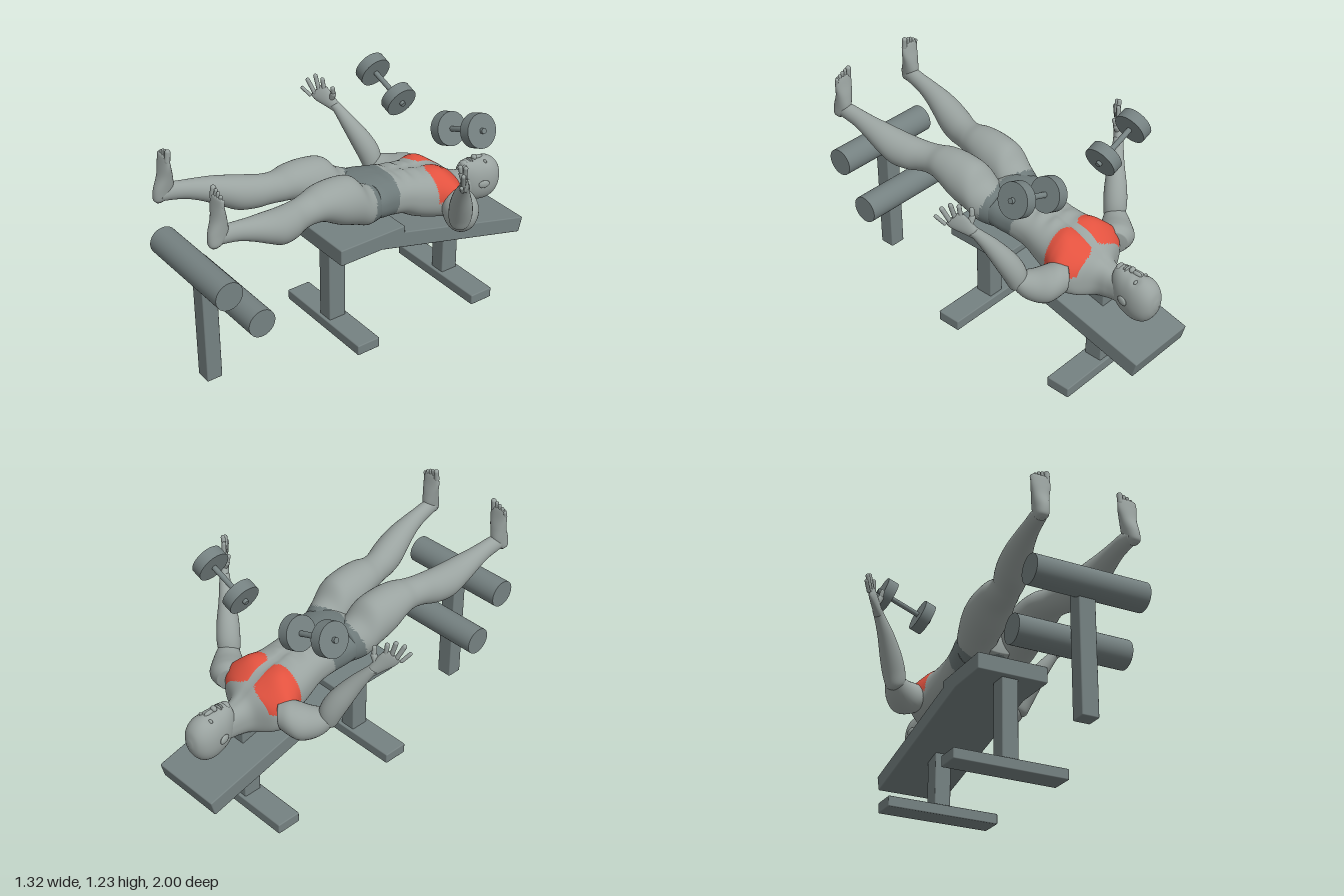
import * as THREE from 'three';
import { RoundedBoxGeometry } from 'three/addons/geometries/RoundedBoxGeometry.js';

const V3 = (x, y, z) => new THREE.Vector3(x, y, z);
const make = (name, color) => {
  const m = new THREE.MeshStandardMaterial({ color });
  m.name = name;
  return m;
};
const bump = (d, w) => Math.exp(-(d * d) / (w * w));

// Smooth closed skin through rows of [x, y, z, radiusU, radiusV]; U fixes the section's first axis
function loft(rows, { U, V, n = 2, around = 32, steps = 6, shape } = {}) {
  const path = new THREE.CatmullRomCurve3(rows.map(r => V3(r[0], r[1], r[2])), false, 'catmullrom');
  const radii = new THREE.CatmullRomCurve3(rows.map(r => V3(r[3], r[4] ?? r[3], 0)), false, 'catmullrom');
  const W = path.points.at(-1).clone().sub(path.points[0]).normalize();
  const u = (U ?? V3(0, 0, 1)).clone();
  if (!V) u.addScaledVector(W, -u.dot(W));
  u.normalize();
  const v = V ? V.clone() : W.clone().cross(u).normalize();
  if (u.clone().cross(v).dot(W) < 0) v.negate();
  const count = (rows.length - 1) * steps, pos = [], idx = [];
  const round = c => Math.sign(c) * Math.abs(c) ** (2 / n);
  for (let i = 0; i <= count; i++) {
    const c = path.getPoint(i / count), r = radii.getPoint(i / count);
    for (let j = 0; j < around; j++) {
      const a = (j / around) * Math.PI * 2;
      const p = c.clone().addScaledVector(u, r.x * round(Math.cos(a))).addScaledVector(v, r.y * round(Math.sin(a)));
      if (shape) shape(p, c);
      pos.push(p.x, p.y, p.z);
      if (i < count) {
        const k = i * around + j, l = i * around + (j + 1) % around;
        idx.push(k, l, l + around, k, l + around, k + around);
      }
    }
  }
  // End caps
  const first = pos.length / 3, last = count * around;
  pos.push(...path.getPoint(0), ...path.getPoint(1));
  for (let j = 0; j < around; j++) {
    const k = (j + 1) % around;
    idx.push(first, k, j, first + 1, last + j, last + k);
  }
  const g = new THREE.BufferGeometry();
  g.setAttribute('position', new THREE.Float32BufferAttribute(pos, 3));
  g.setIndex(idx);
  g.computeVertexNormals();
  return g;
}

// Sort faces into one group per material; rule gets a face centre and returns a material index
function paint(g, rule) {
  const lists = [[], [], []], p = g.attributes.position, ix = g.index.array;
  for (let i = 0; i < ix.length; i += 3) {
    const c = V3(0, 0, 0);
    for (let k = 0; k < 3; k++) c.add(V3().fromBufferAttribute(p, ix[i + k]));
    lists[rule(c.divideScalar(3))].push(ix[i], ix[i + 1], ix[i + 2]);
  }
  g.setIndex(lists.flat());
  let start = 0;
  lists.forEach((l, m) => {
    if (l.length) g.addGroup(start, l.length, m);
    start += l.length;
  });
  return g;
}

export function createModel() {
  const root = new THREE.Group();
  const skin = make('skin', 0x9aa3a0), metal = make('equipment grey', 0x758181);
  const cloth = make('shorts grey', 0x6e7a7a), red = make('chest red', 0xe2523f);
  const bodyMats = [skin, cloth, red];

  const add = (name, geo, mat, parent = root) => {
    const m = new THREE.Mesh(geo, mat);
    m.name = name;
    parent.add(m);
    return m;
  };
  const group = name => {
    const g = new THREE.Group();
    g.name = name;
    root.add(g);
    return g;
  };
  const box = (name, w, h, d, x, y, z, parent) => {
    const m = add(name, new RoundedBoxGeometry(w, h, d, 2, 0.006), metal, parent);
    m.position.set(x, y, z);
    return m;
  };
  const rod = (name, r, len, x, y, z, parent) => {
    const m = add(name, new THREE.CylinderGeometry(r, r, len, 48).rotateZ(Math.PI / 2), metal, parent);
    m.position.set(x, y, z);
    return m;
  };
  const ball = (name, p, s, parent) => {
    const m = add(name, new THREE.SphereGeometry(1, 24, 16), skin, parent);
    m.position.set(...p);
    m.scale.set(...s);
    return m;
  };
  const digit = (name, a, b, r, parent) => {
    const d = b.clone().sub(a);
    const m = add(name, new THREE.CapsuleGeometry(r, d.length(), 6, 12), skin, parent);
    m.position.copy(a).addScaledVector(d, 0.5);
    m.quaternion.setFromUnitVectors(V3(0, 1, 0), d.normalize());
  };

  // Bench
  const bench = group('bench');
  box('seat pad', 0.39, 0.09, 0.4, 0, 0.53, 0.015, bench);
  box('decline pad', 0.39, 0.088, 0.98, 0, 0.407, -0.517, bench).rotation.x = -0.253;
  for (const [z, top] of [[0.132, 0.5], [-0.62, 0.49]]) {
    box('bench post', 0.09, top - 0.05, 0.1, 0, (top + 0.05) / 2, z, bench);
    box('bench foot', 0.63, 0.058, 0.135, 0, 0.029, z, bench);
  }

  // Leg support with two rollers
  const support = group('leg support');
  box('support post', 0.088, 0.625, 0.086, 0, 0.3125, 0.882, support);
  rod('upper roller', 0.074, 0.6, 0, 0.658, 0.926, support);
  rod('lower roller', 0.074, 0.6, 0, 0.434, 0.755, support);

  // Dumbbells
  for (const s of [1, -1]) {
    const bell = group(s > 0 ? 'left dumbbell' : 'right dumbbell');
    bell.position.set(s * 0.311, 1.096, -0.44);
    bell.rotation.z = s * 0.36;
    rod('handle', 0.014, 0.33, 0, 0, 0, bell);
    for (const e of [-0.118, 0.118]) rod('weight', 0.087, 0.06, e, 0, 0, bell);
  }

  // Briefs and chest colouring
  const colourOf = c => {
    const ax = Math.abs(c.x);
    if (c.y > 0.62 && Math.abs((ax - 0.13) / 0.11) ** 4 + Math.abs((c.z + 0.5) / 0.09) ** 4 < 1) return 2;
    const hem = 0.005 - (c.y - 0.74) * 0.25 + Math.max(0, 0.12 - ax) * 0.4;
    return c.z < hem && c.z > -0.17 - (c.y - 0.71) * 0.2 ? 1 : 0;
  };

  // Torso: z, underside, top, half width
  const span = ([z, lo, hi, w]) => [0, (lo + hi) / 2, z, w, (hi - lo) / 2];
  const torsoRows = [
    [-0.76, 0.47, 0.62, 0.058], [-0.69, 0.462, 0.635, 0.064], [-0.63, 0.455, 0.66, 0.09],
    [-0.58, 0.46, 0.7, 0.185], [-0.52, 0.47, 0.737, 0.232], [-0.46, 0.48, 0.757, 0.212],
    [-0.4, 0.49, 0.768, 0.185], [-0.32, 0.52, 0.785, 0.168], [-0.24, 0.565, 0.8, 0.16],
    [-0.15, 0.59, 0.818, 0.17], [-0.06, 0.61, 0.83, 0.188], [0.02, 0.635, 0.825, 0.18],
    [0.08, 0.67, 0.79, 0.11],
  ].map(span);
  const muscles = (p, c) => {
    if (p.y < c.y) return;
    const ax = Math.abs(p.x);
    p.y += 0.02 * bump(ax - 0.1, 0.07) * bump(p.z + 0.47, 0.06);
    p.y -= 0.012 * bump(ax, 0.018) * bump(p.z + 0.42, 0.18);
    const belly = bump(p.z + 0.28, 0.12) * bump(ax - 0.05, 0.05);
    p.y += 0.006 * Math.cos((p.z + 0.28) * 80) * belly;
  };
  const X = V3(1, 0, 0), Y = V3(0, 1, 0), Z = V3(0, 0, 1);
  add('torso', paint(loft(torsoRows, { U: X, V: Y, n: 2.35, around: 80, steps: 9, shape: muscles }), colourOf), bodyMats);

  // Head
  const head = group('head');
  const headRows = [
    [-0.7, 0.57, 0.63, 0.025], [-0.715, 0.5, 0.668, 0.046], [-0.75, 0.45, 0.68, 0.064],
    [-0.8, 0.427, 0.674, 0.077], [-0.86, 0.42, 0.673, 0.085], [-0.91, 0.438, 0.655, 0.076],
    [-0.943, 0.48, 0.62, 0.052], [-0.958, 0.53, 0.57, 0.015],
  ].map(span);
  const face = (p, c) => {
    if (p.y > c.y) p.y -= 0.012 * bump(Math.abs(p.x) - 0.035, 0.022) * bump(p.z + 0.85, 0.02);
  };
  add('skull', loft(headRows, { U: X, V: Y, n: 2.15, around: 48, shape: face }), skin, head);
  ball('nose bridge', [0, 0.672, -0.825], [0.011, 0.014, 0.034], head);
  ball('nose tip', [0, 0.682, -0.8], [0.018, 0.015, 0.014], head);
  ball('upper lip', [0, 0.675, -0.772], [0.025, 0.011, 0.006], head);
  ball('lower lip', [0, 0.674, -0.761], [0.021, 0.011, 0.006], head);
  ball('chin', [0, 0.662, -0.73], [0.027, 0.02, 0.02], head);

  for (const s of [1, -1]) {
    const side = s > 0 ? 'left ' : 'right ';
    const flip = rows => rows.map(([x, ...r]) => [s * x, ...r]);
    const P = (x, y, z) => V3(s * x, y, z);
    ball(side + 'eye', [s * 0.035, 0.653, -0.85], [0.015, 0.009, 0.008], head);
    ball(side + 'ear', [s * 0.083, 0.548, -0.81], [0.01, 0.022, 0.032], head).rotation.y = s * -0.25;

    // Leg, from hip to heel
    const leg = group(side + 'leg');
    const legRows = flip([
      [0.1, 0.72, -0.05, 0.085, 0.095], [0.11, 0.742, 0.03, 0.107, 0.112], [0.118, 0.793, 0.1, 0.113, 0.132],
      [0.123, 0.823, 0.2, 0.113, 0.122], [0.128, 0.85, 0.3, 0.098, 0.092], [0.133, 0.847, 0.37, 0.083, 0.079],
      [0.148, 0.845, 0.43, 0.078, 0.079], [0.172, 0.845, 0.5, 0.085, 0.088], [0.195, 0.857, 0.58, 0.085, 0.091],
      [0.212, 0.887, 0.66, 0.073, 0.078], [0.225, 0.92, 0.75, 0.055, 0.06], [0.232, 0.944, 0.83, 0.043, 0.049],
      [0.238, 0.957, 0.9, 0.038, 0.045], [0.242, 0.955, 0.96, 0.028, 0.034],
    ]);
    add('thigh and calf', paint(loft(legRows, { U: X, V: Y, around: 44 }), colourOf), bodyMats, leg);

    // Foot, from heel up to the toes
    const footRows = flip([
      [0.248, 0.914, 0.958, 0.014, 0.018], [0.247, 0.935, 0.952, 0.03, 0.037], [0.243, 0.985, 0.935, 0.036, 0.05],
      [0.239, 1.05, 0.925, 0.043, 0.036], [0.236, 1.11, 0.925, 0.051, 0.023], [0.237, 1.155, 0.925, 0.049, 0.014],
      [0.238, 1.166, 0.925, 0.04, 0.008],
    ]);
    add('foot', loft(footRows, { U: X, V: Z, n: 2.2 }), skin, leg);
    for (let i = 0; i < 5; i++) {
      const x = 0.2 + i * 0.019 + (i ? 0.004 : 0), tip = 1.19 - i * i * 0.0022;
      digit('toe', P(x, 1.145 - i * 0.003, 0.925), P(x, tip, 0.92), i ? 0.009 : 0.014, leg);
    }

    // Arm, raised and bent at the elbow
    const arm = group(side + 'arm');
    add('upper arm', loft(flip([
      [0.18, 0.605, -0.54, 0.07], [0.225, 0.598, -0.515, 0.09], [0.265, 0.588, -0.49, 0.094], [0.31, 0.588, -0.455, 0.082],
      [0.35, 0.602, -0.42, 0.066], [0.38, 0.628, -0.39, 0.046], [0.39, 0.64, -0.38, 0.02],
    ])), skin, arm);
    add('forearm', loft(flip([
      [0.355, 0.585, -0.405, 0.03], [0.362, 0.61, -0.4, 0.052], [0.38, 0.67, -0.388, 0.06], [0.413, 0.745, -0.36, 0.057],
      [0.465, 0.84, -0.316, 0.042], [0.512, 0.91, -0.285, 0.029], [0.535, 0.94, -0.268, 0.026],
    ])), skin, arm);

    // Open hand
    add('palm', loft(flip([
      [0.522, 0.92, -0.278, 0.026, 0.024], [0.55, 0.955, -0.252, 0.037, 0.021], [0.582, 0.995, -0.222, 0.049, 0.017],
      [0.601, 1.018, -0.206, 0.044, 0.011],
    ]), { U: P(0.053, -0.045, 0.06) }), skin, arm);
    const index = P(0.574, 1.03, -0.232), little = P(0.624, 0.985, -0.177);
    [[0.577, 1.078, -0.227], [0.61, 1.093, -0.205], [0.634, 1.07, -0.172], [0.65, 1.025, -0.148]].forEach((tip, i) =>
      digit('finger', index.clone().lerp(little, i / 3), P(...tip), 0.0115 - (i === 3 ? 0.002 : 0), arm));
    digit('thumb base', P(0.548, 0.962, -0.258), P(0.524, 1.005, -0.258), 0.016, arm);
    digit('thumb', P(0.524, 1.005, -0.258), P(0.518, 1.042, -0.25), 0.012, arm);
  }
  return root;
}
